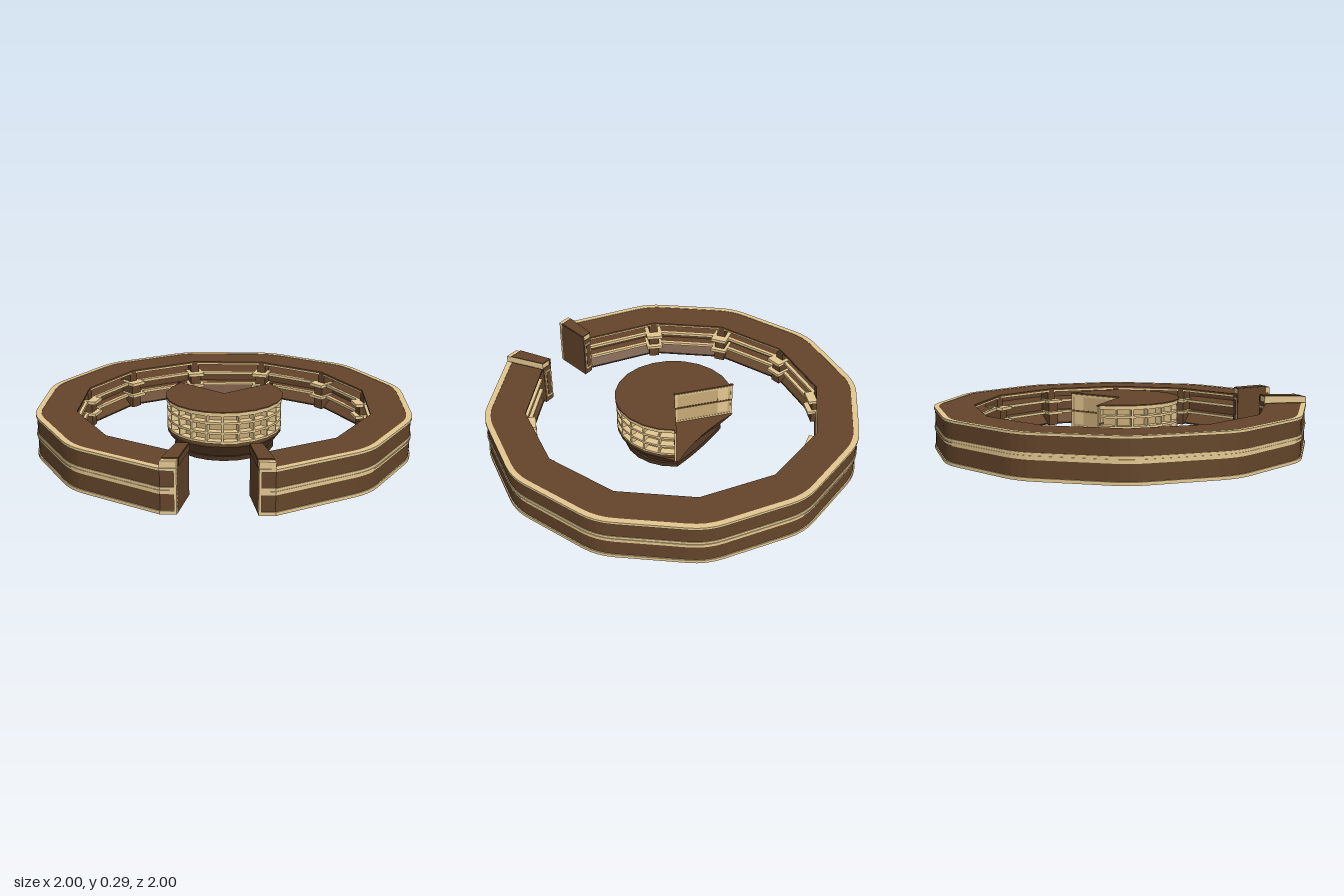
import * as THREE from 'three';

const rad = THREE.MathUtils.degToRad;
const mat = (color) => new THREE.MeshStandardMaterial({ color, flatShading: true });
const BROWN = mat(0x64452a), DARK = mat(0x4a3220), CREAM = mat(0xe4c891), TAN = mat(0xc8aa77);
const CUT = 10.8; // half angle of the entrance gap

// plan point: angle from the front (+z) in degrees, distance from the centre
const at = (deg, r) => new THREE.Vector2(r * Math.sin(rad(deg)), -r * Math.cos(rad(deg)));

export function createModel() {
  const root = new THREE.Group();

  const add = (parent, name, geometry, material) => {
    const m = new THREE.Mesh(geometry, material);
    m.name = name;
    parent.add(m);
    return m;
  };

  // upright slab with the given plan outline
  const slab = (parent, name, points, y0, y1, material) => {
    const g = new THREE.ExtrudeGeometry(new THREE.Shape(points), { depth: y1 - y0, bevelEnabled: false });
    g.rotateX(-Math.PI / 2).translate(0, y0, 0);
    return add(parent, name, g, material);
  };

  // scale a slab's plan by a factor that depends on height, z and radius
  const taper = (mesh, factor) => {
    const p = mesh.geometry.attributes.position;
    for (let i = 0; i < p.count; i++) {
      const x = p.getX(i), y = p.getY(i), z = p.getZ(i), k = factor(y, z, Math.hypot(x, z));
      p.setXYZ(i, x * k, y, z * k);
    }
    mesh.geometry.computeVertexNormals();
  };

  // open twelve-sided outline, optionally with softened corners
  const outline = (a, soft) => {
    const pts = [at(CUT, a / Math.cos(rad(CUT)))];
    for (let k = 0; k < 12; k++) {
      const t = 15 + 30 * k, corner = at(t, a / Math.cos(rad(15)));
      if (!soft || k === 0 || k === 11) { pts.push(corner); continue; }
      const before = at(t - 30, a / Math.cos(rad(15))), after = at(t + 30, a / Math.cos(rad(15)));
      const curve = new THREE.QuadraticBezierCurve(
        corner.clone().lerp(before, 0.17), corner, corner.clone().lerp(after, 0.17));
      pts.push(...curve.getPoints(4));
    }
    pts.push(at(360 - CUT, a / Math.cos(rad(CUT))));
    return pts;
  };

  const ring = (name, a0, a1, y0, y1, material, softIn = false, softOut = false) =>
    slab(desk, name, [...outline(a1, softOut), ...outline(a0, softIn).reverse()], y0, y1, material);

  // Ring desk: outer wall, top and trims
  const desk = new THREE.Group();
  desk.name = 'ringDesk';
  root.add(desk);
  ring('outerWall', 0.965, 0.994, 0.025, 0.245, BROWN, true, true);
  ring('deskTop', 0.78, 0.972, 0.243, 0.253, BROWN, false, true);
  ring('topTrim', 0.97, 1.0, 0.241, 0.255, CREAM, true, true);
  ring('middleBand', 0.98, 0.997, 0.126, 0.16, CREAM, true, true);
  ring('middleRidge', 0.98, 1.0, 0.14, 0.146, CREAM, true, true);
  ring('bottomTrim', 0.963, 1.0, 0.025, 0.042, CREAM, true, true);

  // Inner side: deep open slot under the top, shelves and a sloped lower cabinet
  ring('innerLip', 0.785, 0.8, 0.232, 0.243, CREAM);
  ring('upperShelf', 0.8, 0.965, 0.17, 0.181, BROWN);
  ring('upperNosing', 0.787, 0.805, 0.168, 0.184, CREAM);
  ring('shelfBack', 0.86, 0.87, 0.08, 0.175, BROWN);
  ring('lowerShelf', 0.8, 0.865, 0.1, 0.11, BROWN);
  ring('lowerNosing', 0.787, 0.805, 0.098, 0.113, CREAM);
  taper(ring('lowerCabinet', 0.788, 0.95, 0.036, 0.09, BROWN),
    (y, z, r) => (y > 0.06 && r < 0.85 ? 1.09 : 1));
  ring('cabinetFloor', 0.786, 0.966, 0.03, 0.037, DARK);

  // Brackets at the inner corners
  for (let k = 1; k < 11; k++) {
    const bracket = new THREE.Group();
    bracket.name = 'bracket';
    bracket.rotation.y = rad(15 + 30 * k);
    const block = (name, w, r0, r1, y0, y1, m) =>
      add(bracket, name, new THREE.BoxGeometry(w, y1 - y0, r1 - r0), m)
        .position.set(0, (y0 + y1) / 2, (r0 + r1) / 2);
    block('bracketPost', 0.06, 0.785, 0.9, 0.03, 0.17, BROWN);
    block('bracketUpperPost', 0.05, 0.808, 0.9, 0.17, 0.245, BROWN);
    block('bracketFoot', 0.05, 0.79, 0.985, 0.026, 0.05, BROWN);
    block('bracketUpperLedge', 0.095, 0.757, 0.87, 0.168, 0.186, CREAM);
    block('bracketLowerLedge', 0.095, 0.757, 0.87, 0.097, 0.114, CREAM);
    desk.add(bracket);
  }

  // End posts on both sides of the entrance
  for (const s of [-1, 1]) {
    const end = new THREE.Group();
    end.name = s > 0 ? 'leftEndPost' : 'rightEndPost';
    root.add(end);
    const part = (name, a0, a1, t0, t1, y0, y1, m) => {
      const corner = (t, a) => at(s * t, a / Math.cos(rad(t)));
      slab(end, name, [corner(t0, a0), corner(t1, a0), corner(t1, a1), corner(t0, a1)], y0, y1, m);
    };
    part('post', 0.772, 0.99, CUT - 0.1, 15, 0.025, 0.26, BROWN);
    part('cap', 0.775, 0.998, CUT - 0.1, 15, 0.256, 0.29, CREAM);
    part('capInnerCover', 0.772, 0.97, CUT - 0.3, CUT + 0.5, 0.255, 0.29, BROWN);
    part('capTop', 0.772, 0.97, CUT - 0.2, 15, 0.289, 0.296, BROWN);
    part('frontEdge', 0.985, 1.0, CUT - 0.1, CUT + 0.6, 0.025, 0.256, CREAM);
    part('innerFrame', 0.767, 0.773, 11.3, 14.6, 0.06, 0.235, CREAM);
    part('innerPanel', 0.765, 0.77, 11.8, 14.1, 0.07, 0.225, BROWN);
  }

  // Central counter: a round bookcase with a wedge left open at the back
  const counter = new THREE.Group();
  counter.name = 'centralCounter';
  root.add(counter);
  const HALF = 128, BAYS = 16;
  const arc = (r, half = HALF) =>
    Array.from({ length: BAYS + 1 }, (_, i) => at(-half + (2 * half * i) / BAYS, r));
  const pie = (name, r, y0, y1, m) => slab(counter, name, [...arc(r), new THREE.Vector2()], y0, y1, m);
  pie('bookcasePlinth', 0.31, 0.09, 0.116, BROWN);
  pie('bookcaseCore', 0.275, 0.11, 0.28, TAN);
  for (const y of [0.115, 0.167, 0.222]) pie('bookcaseShelf', 0.317, y, y + 0.012, CREAM);
  pie('counterRim', 0.32, 0.268, 0.288, CREAM);
  pie('counterTop', 0.322, 0.286, 0.293, BROWN);
  for (let i = 0; i <= BAYS; i++) {
    const divider = new THREE.BoxGeometry(0.009, 0.16, 0.06);
    divider.translate(0, 0.195, 0.285).rotateY(rad(-HALF + (2 * HALF * i) / BAYS));
    add(counter, 'bookcaseDivider', divider, CREAM);
  }

  // Base with a hollowed back edge
  const basePlan = (r, dip) => {
    const pts = arc(r, 130.5);
    const a = pts[BAYS], b = pts[0];
    const back = new THREE.QuadraticBezierCurve(a, new THREE.Vector2(0, 2 * dip - a.y), b);
    return [...pts, ...back.getPoints(8).slice(1, -1)];
  };
  slab(counter, 'baseFoot', basePlan(0.275, 0.19), 0.004, 0.028, DARK);
  // narrow at the foot; only the back corners overhang the bookcase
  taper(slab(counter, 'baseFlare', basePlan(0.343, 0.195), 0.026, 0.095, BROWN),
    (y, z, r) => (y < 0.06 ? 0.76 : z > -0.18 && r > 0.3 ? 0.315 / r : 1));

  // Panelled cheeks of the open wedge
  for (const s of [-1, 1]) {
    const cheek = new THREE.Group();
    cheek.name = 'wedgeCheek';
    cheek.rotation.y = rad(s * HALF);
    const strip = (name, w, h, y, z, len, m) =>
      add(cheek, name, new THREE.BoxGeometry(w, h, len), m).position.set(0, y, z);
    strip('cheekPanel', 0.006, 0.195, 0.19, 0.17, 0.335, TAN);
    strip('cheekTop', 0.01, 0.008, 0.289, 0.175, 0.335, BROWN);
    strip('cheekMiddleRail', 0.012, 0.01, 0.19, 0.17, 0.335, BROWN);
    for (const y of [0.1, 0.278]) strip('cheekRail', 0.01, 0.01, y, 0.17, 0.335, CREAM);
    for (const z of [0.015, 0.335]) strip('cheekStile', 0.01, 0.19, 0.19, z, 0.01, CREAM);
    counter.add(cheek);
  }
  return root;
}
